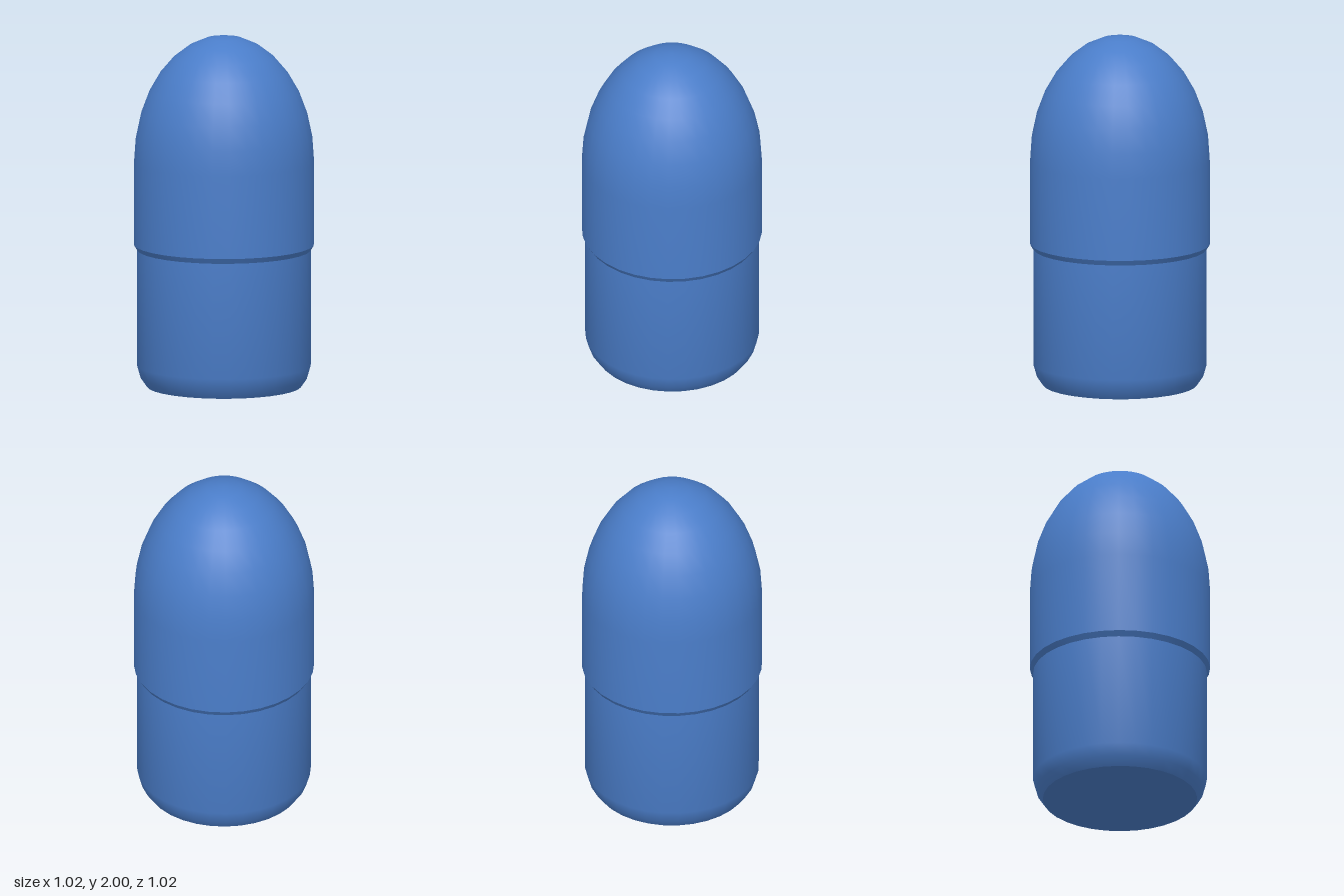
import * as THREE from 'three';
import { toCreasedNormals } from 'three/addons/utils/BufferGeometryUtils.js';

const SIDES = 32;

export function createModel() {
  const group = new THREE.Group();
  group.name = 'capsule';
  const material = new THREE.MeshStandardMaterial({ color: 0x4a7dc9 });

  // Turns a [radius, height] profile, listed from bottom to top
  const addLathe = (name, profile) => {
    const points = profile.map(([r, y]) => new THREE.Vector2(r, y));
    const geometry = toCreasedNormals(new THREE.LatheGeometry(points, SIDES), 0.5);
    const mesh = new THREE.Mesh(geometry, material);
    mesh.name = name;
    group.add(mesh);
  };

  // Lower body: flat underside, rounded bottom edge, straight wall
  addLathe('lowerBody', [[0, 0], [0.435, 0], [0.47, 0.05], [0.49, 0.12], [0.49, 0.78]]);

  // Upper cap: bevelled lip, straight wall, elliptical dome
  const radius = 0.508, domeBase = 1.28, domeHeight = 0.72, rings = 8;
  const cap = [[0.49, 0.78], [radius, 0.81]];
  for (let i = 0; i <= rings; i++) {
    const a = (i / rings) * Math.PI / 2;
    cap.push([i === rings ? 0 : radius * Math.cos(a), domeBase + domeHeight * Math.sin(a)]);
  }
  addLathe('upperCap', cap);

  return group;
}
